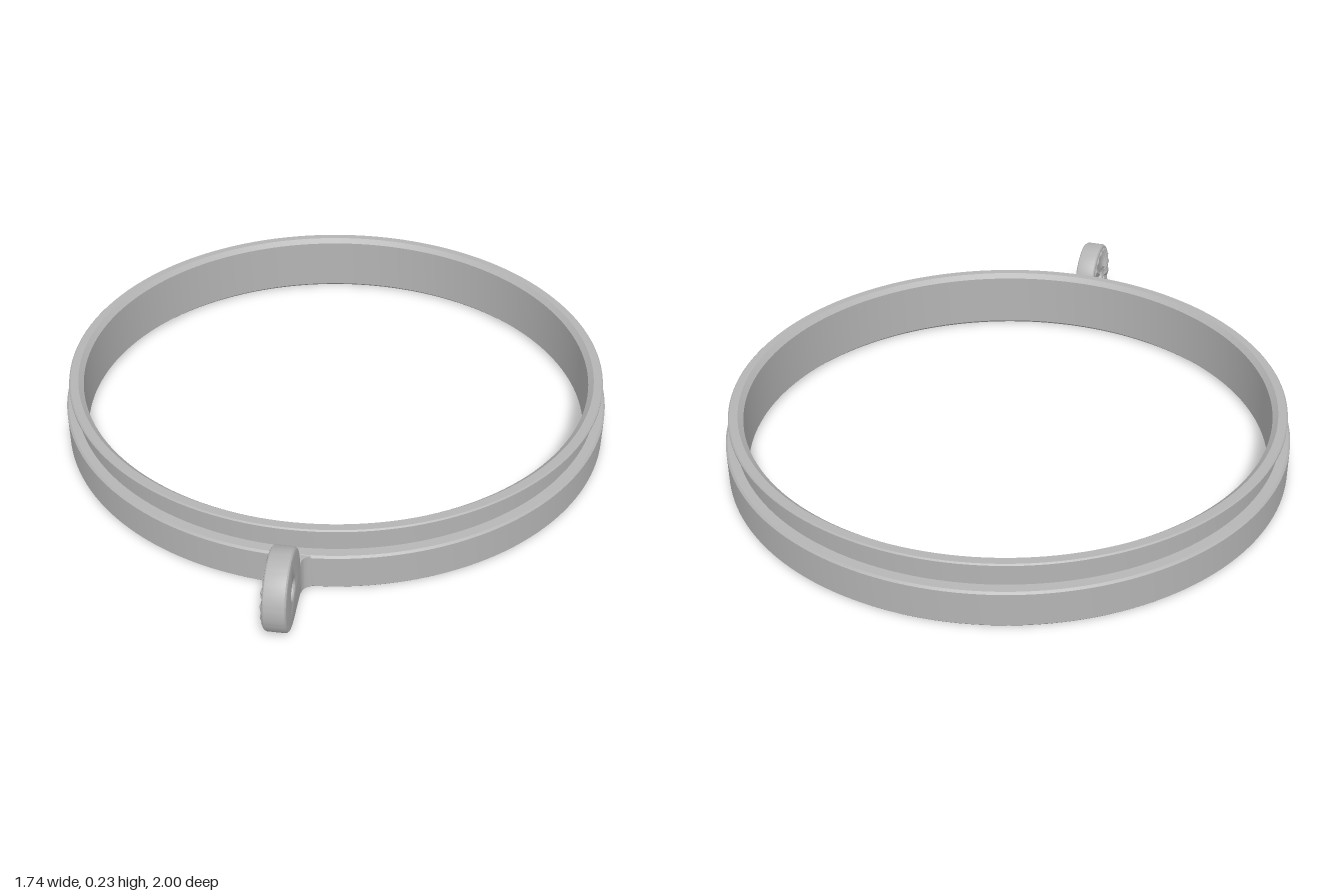
import * as THREE from 'three';
import { toCreasedNormals } from 'three/addons/utils/BufferGeometryUtils.js';

const RING_Z = -0.13;                       // ring centre
const LUG = { z: 0.883, y: 0.118, r: 0.117, hole: 0.028, halfWidth: 0.034 };

export function createModel() {
  const group = new THREE.Group();
  const grey = new THREE.MeshStandardMaterial({ color: 0xb4b4b4 });
  grey.name = 'grey';

  const add = (name, geometry, crease = 0.45) => {
    const mesh = new THREE.Mesh(toCreasedNormals(geometry, crease), grey);
    mesh.name = name;
    group.add(mesh);
    return mesh;
  };

  // Ring: wide lower band, narrower neck and a thin lip, chamfered inside
  const profile = [
    [0.825, 0], [0.864, 0], [0.87, 0.006], [0.87, 0.108], [0.864, 0.114],
    [0.837, 0.116], [0.837, 0.178], [0.855, 0.186], [0.855, 0.192], [0.851, 0.196],
    [0.826, 0.196], [0.81, 0.182], [0.81, 0.012], [0.825, 0],
  ].map(([r, y]) => new THREE.Vector2(r, y));
  add('ring', new THREE.LatheGeometry(profile, 160)).position.z = RING_Z;

  // Hinge lug: round eye with a foot running into the ring, drawn in (z, y)
  const eye = new THREE.Shape();
  eye.moveTo(0.725, 0.001);
  eye.lineTo(LUG.z, 0.001);
  eye.absarc(LUG.z, LUG.y, LUG.r, -Math.PI / 2, Math.PI, false);
  eye.lineTo(LUG.z - LUG.r, 0.113);
  eye.lineTo(0.725, 0.113);
  eye.closePath();
  const bore = new THREE.Path();
  bore.absarc(LUG.z, LUG.y, LUG.hole, 0, Math.PI * 2, true);
  eye.holes.push(bore);
  const bevel = 0.01;
  const lug = new THREE.ExtrudeGeometry(eye, {
    depth: 2 * (LUG.halfWidth - bevel), curveSegments: 32,
    bevelThickness: bevel, bevelSize: bevel, bevelOffset: -bevel, bevelSegments: 3,
  });
  lug.translate(0, 0, bevel - LUG.halfWidth).rotateY(-Math.PI / 2);
  add('hingeLug', lug);

  // Flared web blending the lug into the ring
  const web = new THREE.Shape();
  web.moveTo(-0.056, -0.725);
  web.lineTo(-0.056, -0.738);
  web.quadraticCurveTo(-0.034, -0.743, -0.034, -0.77);
  web.lineTo(0.034, -0.77);
  web.quadraticCurveTo(0.034, -0.743, 0.056, -0.738);
  web.lineTo(0.056, -0.725);
  web.closePath();
  const webGeo = new THREE.ExtrudeGeometry(web, { depth: 0.112, bevelEnabled: false, curveSegments: 8 });
  webGeo.rotateX(-Math.PI / 2).translate(0, 0.001, 0);
  add('lugWeb', webGeo);

  // Radial locking teeth on one side of the lug
  const teeth = 16;
  const radii = [0.039, 0.041, 0.1, 0.106];
  const serration = new THREE.RingGeometry(0.039, 0.106, teeth * 2, 3);
  const p = serration.attributes.position;
  const columns = teeth * 2 + 1;
  for (let i = 0; i < p.count; i++) {
    const row = Math.floor(i / columns), col = i % columns;
    const angle = (col / (teeth * 2)) * Math.PI * 2;
    const raised = col % 2 === 1 && (row === 1 || row === 2);
    p.setXYZ(i, radii[row] * Math.cos(angle), radii[row] * Math.sin(angle), raised ? 0.006 : 0.0005);
  }
  serration.rotateY(-Math.PI / 2);
  add('lockingTeeth', serration, 0.02).position.set(-LUG.halfWidth, LUG.y, LUG.z);

  return group;
}
